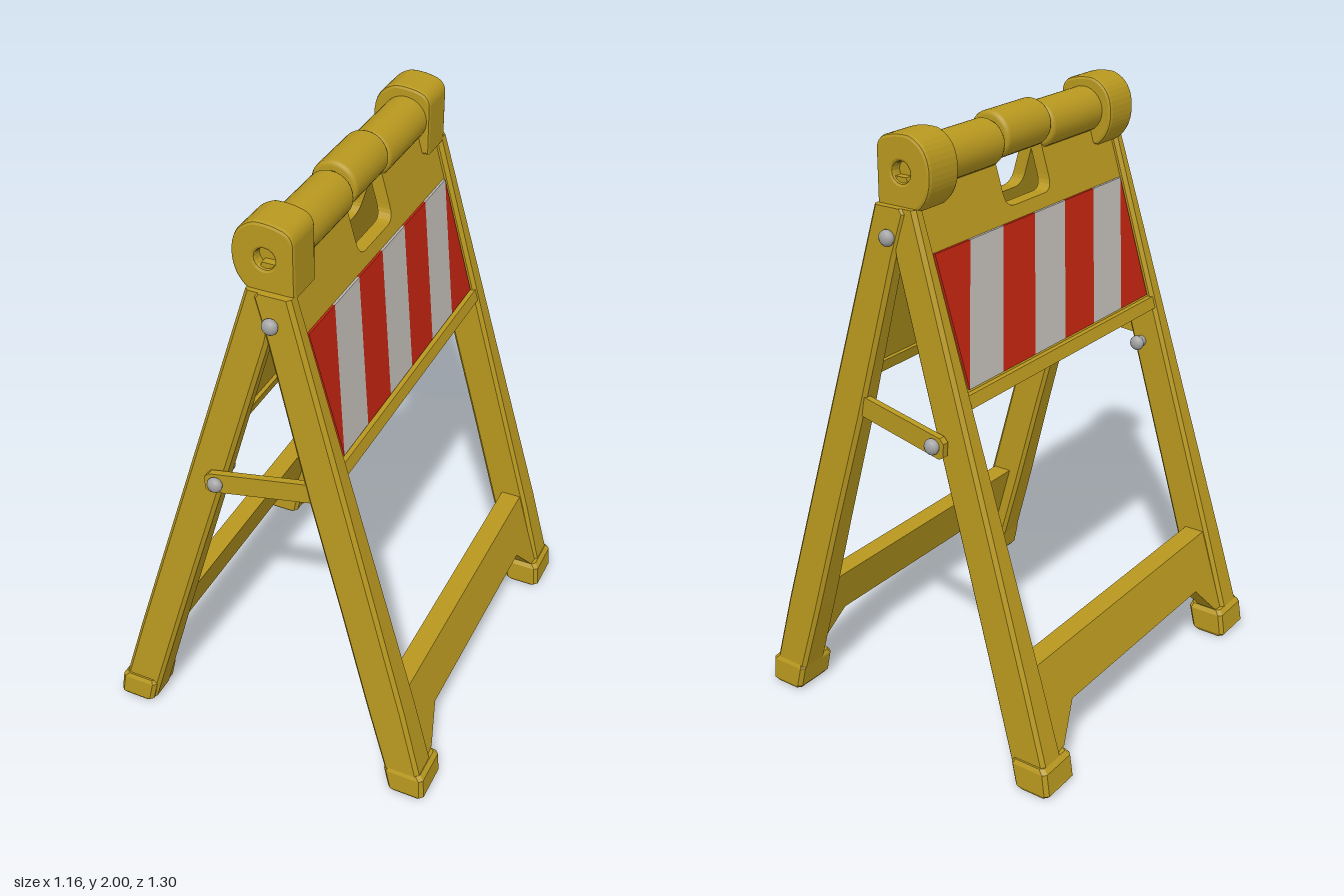
import * as THREE from 'three';

const mat = (name, color) => {
  const m = new THREE.MeshStandardMaterial({ color });
  m.name = name;
  return m;
};

export function createModel() {
  const yellow = mat('yellow plastic', 0xb8981f);
  const red = mat('red stripe', 0xbb230f);
  const white = mat('white stripe', 0xb9b5b0);
  const metal = mat('bolt metal', 0xa4a4a4);
  const root = new THREE.Group();
  root.name = 'foldingBarricade';

  const add = (name, geo, material = yellow, parent = root) => {
    const m = new THREE.Mesh(geo, material);
    m.name = name;
    parent.add(m);
    return m;
  };

  // Sloping outer face of each leaf (s = 1 for +x, -1 for -x)
  const outer = (s, y) => (s > 0
    ? Math.min(0.58, 0.1 + (1.78 - y) * 0.2775)
    : Math.max(-0.58, -0.05 - (1.78 - y) * 0.3035));

  // Loft through chamfered horizontal rectangles [y, xa, xb, za, zb]
  function loft(sections, c = 0.012) {
    const pos = [], idx = [], n = 8;
    for (const [y, xa, xb, za, zb] of sections) {
      const x0 = Math.min(xa, xb), x1 = Math.max(xa, xb);
      const z0 = Math.min(za, zb), z1 = Math.max(za, zb);
      const ring = [[x1, z0 + c], [x1, z1 - c], [x1 - c, z1], [x0 + c, z1],
        [x0, z1 - c], [x0, z0 + c], [x0 + c, z0], [x1 - c, z0]];
      for (const [x, z] of ring) pos.push(x, y, z);
    }
    const last = (sections.length - 1) * n;
    for (let k = 0; k < last; k += n) {
      for (let i = 0; i < n; i++) {
        const a = k + i, b = k + (i + 1) % n;
        idx.push(a, a + n, b, b, a + n, b + n);
      }
    }
    for (let i = 1; i < n - 1; i++) idx.push(0, i, i + 1, last, last + i + 1, last + i);
    let g = new THREE.BufferGeometry();
    g.setAttribute('position', new THREE.Float32BufferAttribute(pos, 3));
    g.setIndex(idx);
    g = g.toNonIndexed();
    g.computeVertexNormals();
    return g;
  }

  const poly = (pts) => new THREE.Shape(pts.map(([x, y]) => new THREE.Vector2(x, y)));

  // Plate drawn as seen from outside, laid along the sloping face of a leaf
  function plate(shape, s, inset, depth) {
    const g = new THREE.ExtrudeGeometry(shape, { depth, bevelEnabled: false, curveSegments: 6 });
    const p = g.attributes.position;
    for (let i = 0; i < p.count; i++) {
      const w = p.getX(i), y = p.getY(i), d = p.getZ(i);
      p.setXYZ(i, outer(s, y) - s * (inset + depth - d), y, -s * w);
    }
    g.computeVertexNormals();
    return g;
  }

  // Board outline with the hand opening
  const board = new THREE.Shape();
  board.moveTo(-0.54, 1.2);
  board.lineTo(0.54, 1.2);
  board.lineTo(0.54, 1.87);
  board.lineTo(0.125, 1.87);
  board.lineTo(0.125, 1.735);
  board.quadraticCurveTo(0.125, 1.69, 0.08, 1.69);
  board.lineTo(-0.08, 1.69);
  board.quadraticCurveTo(-0.125, 1.69, -0.125, 1.735);
  board.lineTo(-0.125, 1.87);
  board.lineTo(-0.54, 1.87);

  const crossbar = poly([[-0.56, 0.1], [-0.495, 0.11], [-0.4, 0.22], [0.4, 0.22],
    [0.495, 0.11], [0.56, 0.1], [0.56, 0.39], [-0.56, 0.39]]);

  // Inner edge of each leg: [y, x]
  const innerEdge = {
    1: [[0.02, 0.455], [0.35, 0.362], [0.7, 0.268], [1.1, 0.157], [1.63, 0.022], [1.77, -0.02], [1.785, -0.01]],
    '-1': [[0.02, -0.445], [0.35, -0.35], [0.7, -0.248], [1.1, -0.13], [1.63, 0.025], [1.77, 0.05], [1.785, 0.04]],
  };

  for (const s of [1, -1]) {
    const leaf = new THREE.Group();
    leaf.name = s > 0 ? 'leftLeaf' : 'rightLeaf';
    root.add(leaf);

    add('board', plate(board, s, 0.02, 0.045), yellow, leaf);
    add('boardLip', plate(poly([[-0.53, 1.2], [0.53, 1.2], [0.53, 1.24], [-0.53, 1.24]]), s, 0.004, 0.075), yellow, leaf);
    add('crossbar', plate(crossbar, s, 0.015, 0.07), yellow, leaf);

    // Slanted stripes, clipped to the reflective panel
    const w = 0.17, y0 = 1.25, y1 = 1.648;
    for (let k = -1; k < 6; k++) {
      const x = -0.51 + k * w;
      let pts = [[x, y0], [x + w, y0], [x + 2 * w, y1], [x + w, y1]];
      if (k < 0) pts = pts.slice(1);
      if (k === 5) pts = [pts[0], pts[1], pts[3]];
      add('stripe', plate(poly(pts), s, 0.012, 0.009), k % 2 ? red : white, leaf);
    }

    // Legs and feet
    for (const zs of [1, -1]) {
      const spread = s > 0 ? 0.64 : 0.633;
      const sections = innerEdge[s].map(([y, x]) =>
        [y, x, outer(s, y), zs * (0.53 - 0.006 * y), zs * (spread - y * 0.037)]);
      add('leg', loft(sections), yellow, leaf);
      add('foot', loft([
        [0, s * 0.465, s * 0.568, zs * 0.5, zs * 0.635],
        [0.015, s * 0.452, s * 0.58, zs * 0.49, zs * 0.644],
        [0.09, s * 0.435, outer(s, 0.09) + s * 0.006, zs * 0.49, zs * 0.642],
        [0.105, s * 0.44, outer(s, 0.105) - s * 0.004, zs * 0.5, zs * 0.635],
      ]), yellow, leaf);
    }
  }

  // Rounded rod along z
  function rod(name, r, za, zb, x, y, c = 0.015) {
    const h = (zb - za) / 2;
    const pts = [[0, -h], [r - c, -h], [r - c * 0.3, -h + c * 0.3], [r, -h + c],
      [r, h - c], [r - c * 0.3, h - c * 0.3], [r - c, h], [0, h]];
    const g = new THREE.LatheGeometry(pts.map(([a, b]) => new THREE.Vector2(a, b)), 28);
    g.rotateX(Math.PI / 2);
    g.translate(x, y, (za + zb) / 2);
    return add(name, g);
  }
  rod('handleGrip', 0.077, -0.12, 0.12, 0.015, 1.906);
  rod('hingePin', 0.05, -0.16, 0.16, 0.015, 1.895);

  // Rounded end cap with a pin hole
  const cap = new THREE.Shape();
  cap.moveTo(-0.04, 1.785);
  cap.lineTo(0.09, 1.785);
  cap.lineTo(0.09, 1.945);
  cap.quadraticCurveTo(0.088, 1.972, 0.06, 1.98);
  cap.quadraticCurveTo(0.02, 1.992, -0.02, 1.988);
  cap.quadraticCurveTo(-0.085, 1.965, -0.085, 1.885);
  cap.quadraticCurveTo(-0.085, 1.82, -0.04, 1.785);
  const hole = new THREE.Path();
  hole.absarc(0.01, 1.885, 0.042, 0, Math.PI * 2, true);
  cap.holes.push(hole);

  // Bolt with a domed head pointing along zs
  function bolt(x, y, z, zs) {
    const g = new THREE.SphereGeometry(0.026, 12, 8);
    g.scale(1, 1, 0.75);
    g.translate(x, y, z + zs * 0.006);
    add('boltHead', g, metal);
    const c = new THREE.CylinderGeometry(0.02, 0.02, 0.03, 8);
    c.rotateX(Math.PI / 2);
    c.translate(x, y, z - zs * 0.01);
    add('boltShank', c, metal);
  }

  const strut = poly([[-0.165, 1.055], [0.16, 1.1], [0.17, 1.17], [-0.17, 1.125],
    [-0.185, 1.11], [-0.182, 1.065]]);

  for (const zs of [1, -1]) {
    rod('hingeBarrel', 0.076, zs > 0 ? 0.128 : -0.515, zs > 0 ? 0.515 : -0.128, 0.015, 1.89);

    const capGeo = new THREE.ExtrudeGeometry(cap, {
      depth: 0.116, bevelThickness: 0.012, bevelSize: 0.01, bevelSegments: 2, curveSegments: 8,
    });
    capGeo.translate(0, 0, zs * 0.48 - 0.058);
    add('hingeCap', capGeo);

    // Locking strut, slanting inward toward the +x leg
    const sg = new THREE.ExtrudeGeometry(strut, { depth: 0.022, bevelEnabled: false });
    const p = sg.attributes.position;
    for (let i = 0; i < p.count; i++) {
      p.setZ(i, zs * (0.61 - (p.getX(i) + 0.145) * 0.1) + p.getZ(i) - 0.011);
    }
    sg.computeVertexNormals();
    add('lockingStrut', sg);

    bolt(-0.145, 1.095, zs * 0.625, zs);
    bolt(0.04, 1.695, zs * 0.58, zs);
    bolt(-0.175, 1.07, zs * 0.5, -zs);
  }
  return root;
}
